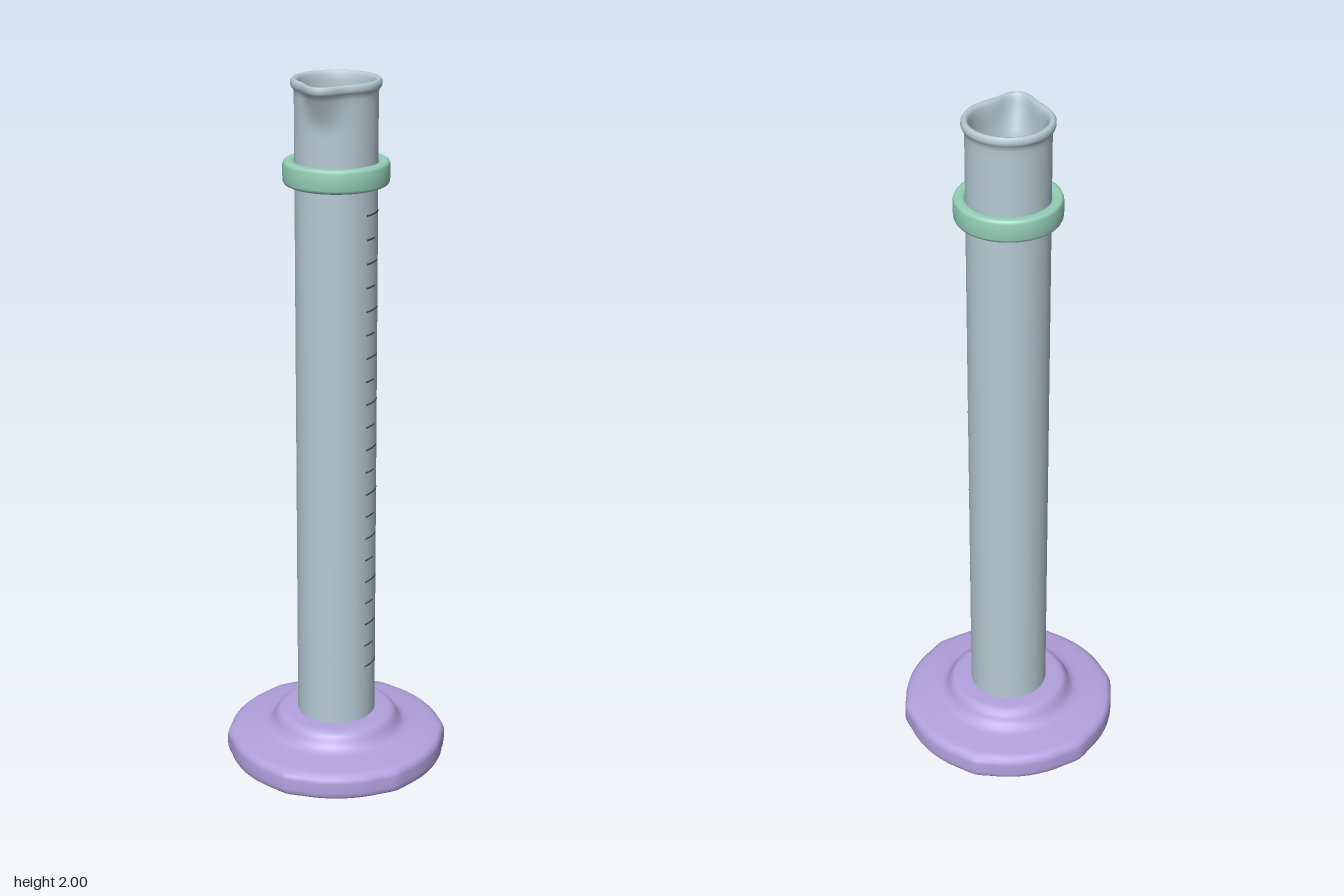
import * as THREE from 'three';
import { mergeVertices } from 'three/addons/utils/BufferGeometryUtils.js';

const mat = (name, color) => {
  const m = new THREE.MeshStandardMaterial({ color });
  m.name = name;
  return m;
};

// Lathe from [radius, height] pairs, ordered counter-clockwise; bend(v) may move vertices
function turned(points, segments, bend) {
  const geo = new THREE.LatheGeometry(points.map(([r, y]) => new THREE.Vector2(r, y)), segments);
  if (!bend) return geo;
  const pos = geo.attributes.position;
  const v = new THREE.Vector3();
  for (let i = 0; i < pos.count; i++) {
    bend(v.fromBufferAttribute(pos, i));
    pos.setXYZ(i, v.x, v.y, v.z);
  }
  geo.deleteAttribute('normal');
  geo.deleteAttribute('uv');
  const welded = mergeVertices(geo, 1e-6);
  welded.computeVertexNormals();
  return welded;
}

export function createModel() {
  const model = new THREE.Group();
  model.name = 'measuringCylinder';
  const glass = mat('paleGlass', 0xb6cad4);
  const purple = mat('lilacPlastic', 0xb2a1de);
  const green = mat('mintRubber', 0x95cfb8);
  const blue = mat('blueLiquid', 0x7fb4e4);
  const ink = mat('darkInk', 0x4a555c);
  const add = (name, geometry, material, parent = model) => {
    const mesh = new THREE.Mesh(geometry, material);
    mesh.name = name;
    parent.add(mesh);
    return mesh;
  };

  // Foot: flared disc with six small pointed grips around its edge
  const foot = [
    [0, 0], [0.302, 0], [0.3025, 0], [0.31, 0.003], [0.314, 0.01], [0.315, 0.02], [0.315, 0.05],
    [0.312, 0.062], [0.304, 0.07], [0.288, 0.075], [0.25, 0.079], [0.215, 0.083], [0.2, 0.088],
    [0.189, 0.097], [0.181, 0.112], [0.174, 0.126], [0.165, 0.134], [0.15, 0.138], [0.1, 0.138], [0, 0.138],
  ];
  add('foot', turned(foot, 120, (v) => {
    const r = Math.hypot(v.x, v.z);
    if (r < 0.28) return;
    const step = Math.PI / 3;
    const a = Math.atan2(v.x, v.z) / step;
    const off = Math.abs(a - Math.round(a)) * step;
    const k = 1 + 0.023 * Math.max(0, 1 - off / 0.16) * (r - 0.28) / 0.035;
    v.x *= k;
    v.z *= k;
  }), purple);

  // Tube: hollow wall with a rolled lip, pulled out into a pouring spout
  const wall = [[0.113, 0.13], [0.113, 1.0], [0.113, 1.8]];
  for (let y = 1.84; y < 1.965; y += 0.02) wall.push([0.113, y]);
  wall.push([0.115, 1.972], [0.12, 1.977], [0.1225, 1.984], [0.122, 1.993], [0.118, 1.999],
    [0.113, 2], [0.107, 1.998], [0.103, 1.99], [0.101, 1.975]);
  for (let y = 1.955; y > 1.85; y -= 0.02) wall.push([0.101, y]);
  wall.push([0.101, 1.8], [0.101, 1.0], [0.101, 0.139]);
  const spoutAngle = Math.atan2(-0.77, 0.6);
  add('tube', turned(wall, 96, (v) => {
    const rise = THREE.MathUtils.smoothstep(v.y, 1.87, 2.0);
    if (rise === 0) return;
    const r = Math.hypot(v.x, v.z);
    let d = Math.atan2(v.x, v.z) - spoutAngle;
    d = Math.abs(Math.atan2(Math.sin(d), Math.cos(d)));
    const k = 1 + 0.042 * rise * Math.exp(-((d / 0.36) ** 2)) / r;
    v.x *= k;
    v.z *= k;
  }), glass);

  // Guard ring around the neck
  const ring = [
    [0.112, 1.715], [0.136, 1.715], [0.142, 1.718], [0.145, 1.725], [0.146, 1.747], [0.145, 1.77],
    [0.142, 1.777], [0.136, 1.78], [0.122, 1.78], [0.116, 1.777], [0.112, 1.77],
  ];
  add('guardRing', turned(ring, 64), green);

  // Liquid with a dished surface
  const liquid = [[0, 0.145], [0.098, 0.145], [0.098, 0.15], [0.098, 1.2]];
  for (let i = 1; i <= 8; i++) {
    const r = 0.098 * (1 - i / 8);
    liquid.push([r, 1.18 + 0.02 * (r / 0.098) ** 2]);
  }
  add('liquid', turned(liquid, 64), blue);

  // Graduation marks, longer on every second and fourth line
  const scale = new THREE.Group();
  scale.name = 'scale';
  model.add(scale);
  const start = THREE.MathUtils.degToRad(13);
  for (let i = 0; i <= 20; i++) {
    const sweep = THREE.MathUtils.degToRad(i % 4 === 0 ? 42 : i % 2 === 0 ? 32 : 21);
    const geo = new THREE.CylinderGeometry(0.1138, 0.1138, 0.005, 12, 1, true, start, sweep);
    add('scaleMark', geo, ink, scale).position.y = 0.303 + i * 0.067;
  }

  return model;
}
